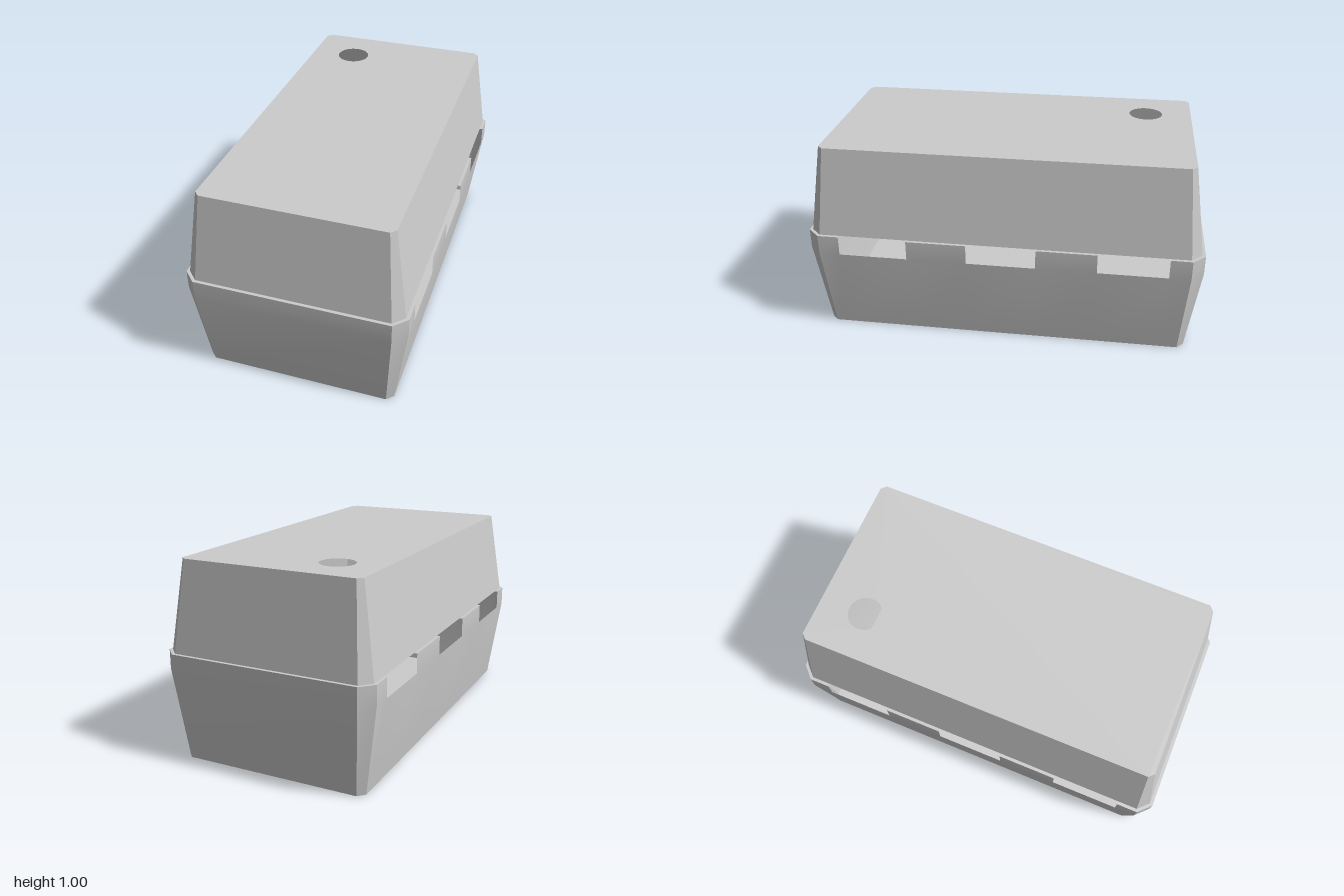
import * as THREE from 'three';
import { toCreasedNormals } from 'three/addons/utils/BufferGeometryUtils.js';

// Chamfered rectangle corners, counter-clockwise seen from above
function ring(hx, hz, c, y) {
  const a = hx - c, b = hz - c;
  return [[hx, b], [hx, -b], [a, -hz], [-a, -hz], [-hx, -b], [-hx, b], [-a, hz], [a, hz]]
    .map(([x, z]) => new THREE.Vector3(x, y, z));
}

// Stations along the long sides; every odd span is a slot
const HALF = 0.937;
const stations = [HALF, 0.83, 0.48, 0.175, -0.175, -0.48, -0.83, -HALF].map((z) => (HALF - z) / (2 * HALF));

// Wall between two rings, optionally leaving the slots open
function addBand(out, low, up, slotted = false) {
  for (let i = 0; i < 8; i++) {
    const j = (i + 1) % 8;
    const ts = i % 4 === 0 ? stations : [0, 1];
    for (let k = 0; k < ts.length - 1; k++) {
      if (slotted && k % 2 === 1) continue;
      const a = low[i].clone().lerp(low[j], ts[k]);
      const b = low[i].clone().lerp(low[j], ts[k + 1]);
      const c = up[i].clone().lerp(up[j], ts[k + 1]);
      const d = up[i].clone().lerp(up[j], ts[k]);
      out.push(a, b, c, a, c, d);
    }
  }
}

function wallGeometry(points) {
  const geometry = new THREE.BufferGeometry().setFromPoints(points);
  return toCreasedNormals(geometry, Math.PI / 6);
}

function outline(points) {
  return new THREE.Shape(points.map((p) => new THREE.Vector2(p.x, -p.z)));
}

export function createModel() {
  const group = new THREE.Group();
  const grey = new THREE.MeshStandardMaterial({ color: 0xcccccc, side: THREE.DoubleSide });
  grey.name = 'light grey';

  const add = (name, geometry) => {
    const mesh = new THREE.Mesh(geometry, grey);
    mesh.name = name;
    group.add(mesh);
  };

  const baseBottom = ring(0.487, 0.94, 0.033, 0);
  const baseShoulder = ring(0.55, 1, 0.063, 0.45);
  const baseRim = ring(0.55, 1, 0.063, 0.55);
  const lidBottom = ring(0.534, 0.984, 0.053, 0.55);
  const lidTop = ring(0.47, 0.92, 0.025, 1);

  // Tapered base with slots under its rim
  const base = [];
  addBand(base, baseBottom, baseShoulder);
  addBand(base, baseShoulder, baseRim, true);
  add('baseWalls', wallGeometry(base));
  add('baseFloor', new THREE.ShapeGeometry(outline(baseBottom)).rotateX(Math.PI / 2));

  // Narrow ledge joining base and lid
  const ledge = [];
  addBand(ledge, baseRim, lidBottom, true);
  add('ledge', wallGeometry(ledge));

  // Tapered lid with a round opening in its top
  const lid = [];
  addBand(lid, lidBottom, lidTop);
  add('lidWalls', wallGeometry(lid));
  const top = outline(lidTop);
  top.holes.push(new THREE.Path().absarc(-0.233, 0.68, 0.087, 0, Math.PI * 2, true));
  add('lidTop', new THREE.ShapeGeometry(top, 24).rotateX(-Math.PI / 2).translate(0, 1, 0));

  return group;
}
